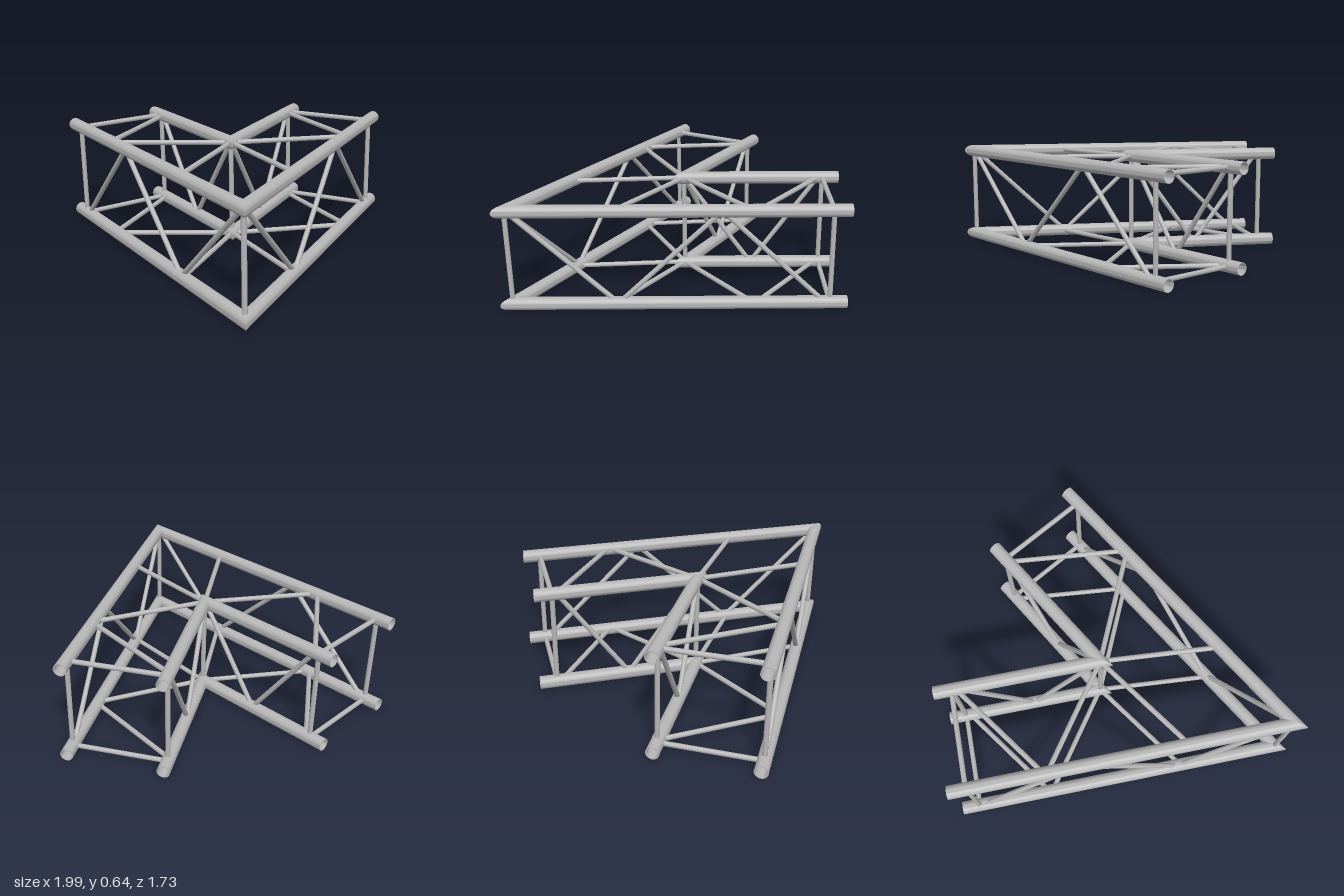
import * as THREE from 'three';
import { toCreasedNormals } from 'three/addons/utils/BufferGeometryUtils.js';

const R = 0.038, WALL = 0.005, ROD = 0.0145;
const LOW = 0.039, HIGH = 0.607;
const ANGLE = Math.PI / 3; // angle between the two legs
const OUTER = { x: 0.929, z: 0.822, length: 1.929 };
const INNER = { x: -0.05, z: 0.257, length: 0.95 };

// Hollow tube along x, ending in a mitre at the origin
function chordGeometry(length, side) {
  const ring = new THREE.Shape().absarc(0, 0, R, 0, Math.PI * 2, false);
  ring.holes.push(new THREE.Path().absarc(0, 0, R - WALL, 0, Math.PI * 2, true));
  const geo = new THREE.ExtrudeGeometry(ring, { depth: length, bevelEnabled: false, curveSegments: 24 });
  geo.rotateY(Math.PI / 2).translate(-length, 0, 0);
  const p = geo.attributes.position;
  for (let i = 0; i < p.count; i++) {
    if (p.getX(i) > -length / 2) p.setX(i, side * p.getZ(i) / Math.tan(ANGLE / 2));
  }
  return toCreasedNormals(geo, 0.4);
}

export function createModel() {
  const model = new THREE.Group();
  model.name = 'cornerTruss';
  const metal = new THREE.MeshStandardMaterial({ color: 0xb6b6b6 });
  metal.name = 'aluminium';

  // Thin rod between two chord axes, stopping inside the tube walls
  function rod(parent, name, a, b) {
    const dir = b.clone().sub(a);
    const length = dir.length() - 0.062;
    const mesh = new THREE.Mesh(new THREE.CylinderGeometry(ROD, ROD, length, 16), metal);
    mesh.name = name;
    mesh.position.copy(a).add(b).multiplyScalar(0.5);
    mesh.quaternion.setFromUnitVectors(new THREE.Vector3(0, 1, 0), dir.normalize());
    parent.add(mesh);
  }

  const legs = [
    { name: 'frontLeg', turn: 0, side: 1 },
    { name: 'rearLeg', turn: -ANGLE, side: -1 },
  ];
  for (const { name, turn, side } of legs) {
    const leg = new THREE.Group();
    leg.name = name;
    model.add(leg);
    // Point on a chord axis, t away from the corner
    const at = (chord, t, y) => new THREE.Vector3(
      chord.x - t * Math.cos(turn), y, chord.z + t * Math.sin(turn));

    // Four main tubes
    for (const chord of [OUTER, INNER]) {
      for (const y of [LOW, HIGH]) {
        const tube = new THREE.Mesh(chordGeometry(chord.length, side), metal);
        tube.name = chord === OUTER ? 'outerChord' : 'innerChord';
        tube.position.copy(at(chord, 0, y));
        tube.rotation.y = turn;
        leg.add(tube);
      }
      // Upright near the open end
      const t = chord.length - 0.1;
      rod(leg, 'endUpright', at(chord, t, LOW), at(chord, t, HIGH));
    }

    // Zigzags in the upright faces
    const zigzag = (label, chord, ts) => {
      for (let i = 0; i + 1 < ts.length; i++) {
        const [y0, y1] = i % 2 ? [LOW, HIGH] : [HIGH, LOW];
        rod(leg, label, at(chord, ts[i], y0), at(chord, ts[i + 1], y1));
      }
    };
    zigzag('outerDiagonal', OUTER, [0.009, 0.609, 1.209, 1.799]);
    zigzag('innerDiagonal', INNER, [0.005, 0.415, 0.825]);

    // Crossbar and diagonals in the top and bottom faces
    for (const y of [LOW, HIGH]) {
      rod(leg, 'endCrossbar', at(OUTER, 1.829, y), at(INNER, 0.85, y));
      for (const [o, n] of [[0.594, 0], [1.385, 0], [1.403, 0.825]]) {
        rod(leg, 'crossDiagonal', at(OUTER, o, y), at(INNER, n, y));
      }
    }
  }

  // Uprights at the corner
  for (const [name, c] of [['outerCornerUpright', OUTER], ['innerCornerUpright', INNER]]) {
    rod(model, name, new THREE.Vector3(c.x, LOW, c.z), new THREE.Vector3(c.x, HIGH, c.z));
  }
  return model;
}
